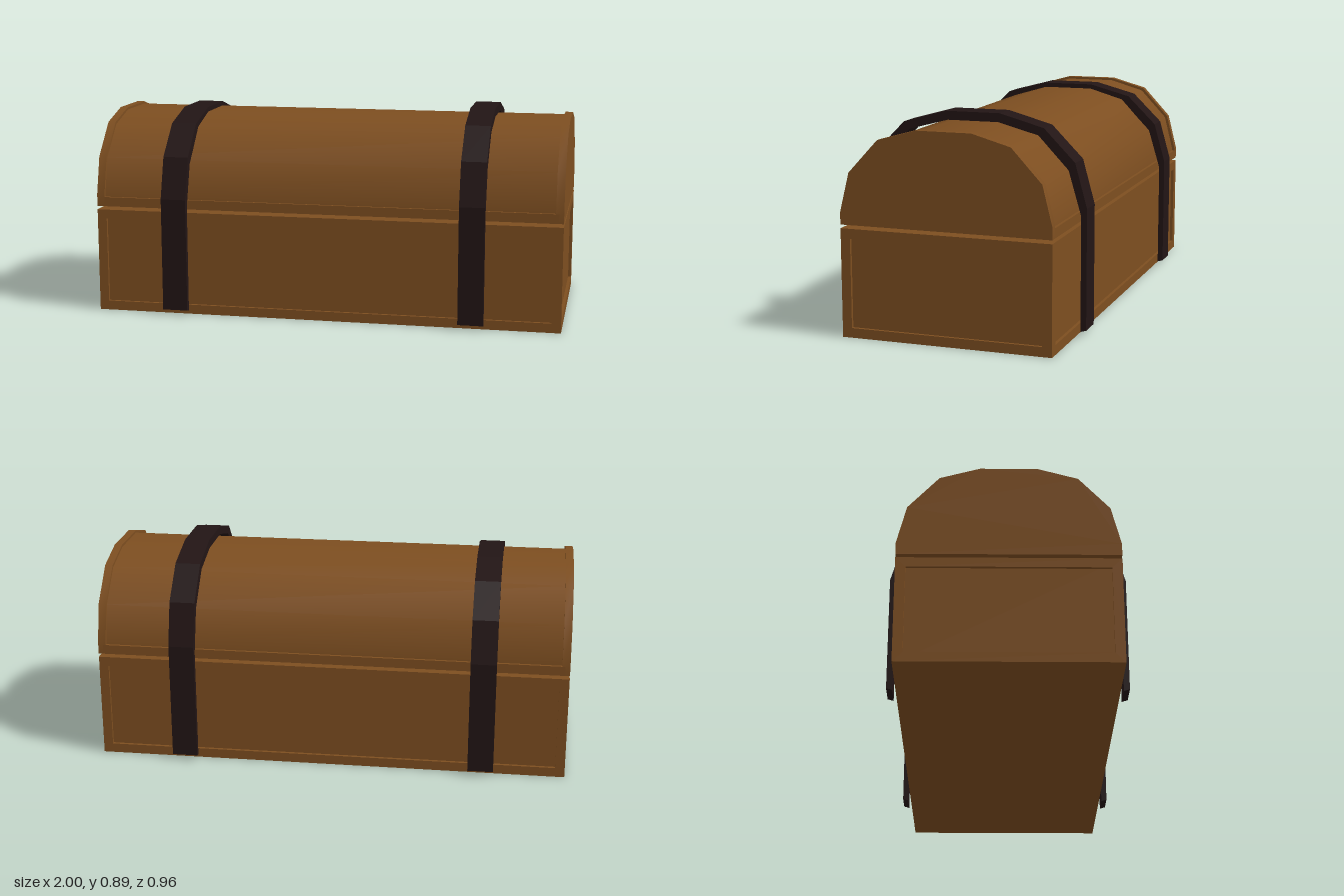
import * as THREE from 'three';
import { toCreasedNormals } from 'three/addons/utils/BufferGeometryUtils.js';

const wood = new THREE.MeshStandardMaterial({ color: 0x7d4e20 });
const iron = new THREE.MeshStandardMaterial({ color: 0x221515 });

const L = 2, W = 0.88, H = 0.445; // base length, depth, height
const BORDER = 0.04, RECESS = 0.013;

// Half profiles as [z, y], from the side up to the crown
const lidHalf = [[0.44, 0.46], [0.44, 0.51], [0.4, 0.67], [0.275, 0.805], [0.115, 0.85]];
const lidCoreHalf = [[0.428, 0.47], [0.428, 0.51], [0.389, 0.665], [0.268, 0.794], [0.112, 0.84]];
const strapOuter = [[0.48, 0.024], [0.48, 0.522], [0.43, 0.703], [0.3, 0.835], [0.115, 0.886]];
const strapInner = [[0.456, 0.017], [0.456, 0.49], [0.403, 0.672], [0.277, 0.805], [0.108, 0.85]];

const arch = (half) => [...half, ...half.map(([z, y]) => [-z, y]).reverse()];
const toShape = (pts) => new THREE.Shape(pts.map(([a, b]) => new THREE.Vector2(a, b)));

// Extrudes a (z, y) outline along x, from x0 to x1
function alongX(pts, x0, x1) {
  return new THREE.ExtrudeGeometry(toShape(pts), { depth: x1 - x0, bevelEnabled: false })
    .rotateY(Math.PI / 2)
    .translate(x0, 0, 0);
}

function add(parent, name, geometry, material = wood) {
  const mesh = new THREE.Mesh(geometry, material);
  mesh.name = name;
  parent.add(mesh);
  return mesh;
}

// Raised border around a recessed panel, facing +z
function panelFrame(width) {
  const rect = (x, y0, y1) => [[-x, y0], [x, y0], [x, y1], [-x, y1]];
  const shape = toShape(rect(width / 2, 0, H));
  shape.holes.push(toShape(rect(width / 2 - BORDER, BORDER, H - BORDER)));
  return new THREE.ExtrudeGeometry(shape, { depth: RECESS, bevelEnabled: false });
}

export function createModel() {
  const chest = new THREE.Group();
  chest.name = 'chest';

  // Base: core box with a border on each of its four sides
  const base = new THREE.Group();
  base.name = 'base';
  chest.add(base);
  add(base, 'baseCore', new THREE.BoxGeometry(L - 2 * RECESS, H, W - 2 * RECESS).translate(0, H / 2, 0));
  ['frontFrame', 'leftFrame', 'backFrame', 'rightFrame'].forEach((name, i) => {
    const end = i % 2 === 1;
    const frame = panelFrame(end ? W : L).translate(0, 0, (end ? L : W) / 2 - RECESS);
    add(base, name, frame.rotateY((i * Math.PI) / 2));
  });

  // Lid: smooth barrel between two raised end rims, on a bottom rail
  const lid = new THREE.Group();
  lid.name = 'lid';
  chest.add(lid);
  add(lid, 'lidBarrel', toCreasedNormals(alongX(arch(lidCoreHalf), -0.98, 0.98), 0.7));
  add(lid, 'lidRail', new THREE.BoxGeometry(1.96, 0.04, W).translate(0, 0.48, 0));
  add(lid, 'leftRim', toCreasedNormals(alongX(arch(lidHalf), 0.967, 1), 0.7));
  add(lid, 'rightRim', toCreasedNormals(alongX(arch(lidHalf), -1, -0.967), 0.7));

  // Straps: faceted bands over the lid and down both sides; the right one sits lower
  const strapPts = [...arch(strapOuter), ...arch(strapInner).reverse()];
  add(chest, 'leftStrap', alongX(strapPts, 0.575, 0.682), iron);
  const low = strapPts.map(([z, y]) => [z, 0.02 + (y - 0.02) * 0.97]);
  add(chest, 'rightStrap', alongX(low, -0.7, -0.592), iron);

  return chest;
}
